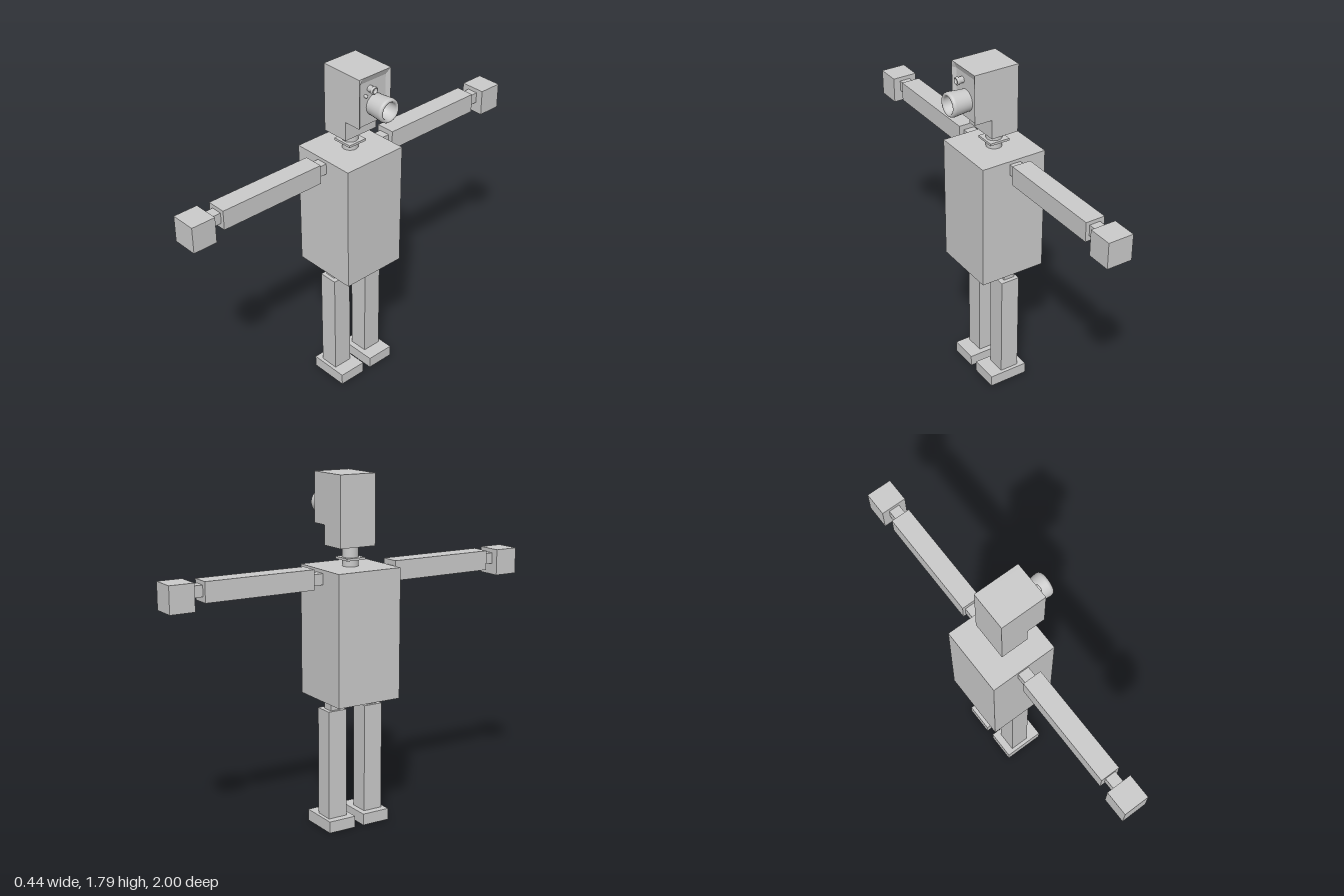
import * as THREE from 'three';

const grey = new THREE.MeshStandardMaterial({ color: 0xcccccc, side: THREE.DoubleSide });

export function createModel() {
  const model = new THREE.Group();

  const add = (name, geometry, x = 0, y = 0, z = 0) => {
    const mesh = new THREE.Mesh(geometry, grey);
    mesh.name = name;
    mesh.position.set(x, y, z);
    model.add(mesh);
    return mesh;
  };
  // Box given by its extents on each axis
  const block = (name, [x0, x1], [y0, y1], [z0, z1]) =>
    add(name, new THREE.BoxGeometry(x1 - x0, y1 - y0, z1 - z0),
      (x0 + x1) / 2, (y0 + y1) / 2, (z0 + z1) / 2);
  // Turned part whose axis points along +x; points are [radius, distance]
  const turned = (name, points, x, y, z) => {
    const profile = points.map(([r, d]) => new THREE.Vector2(r, d));
    const mesh = add(name, new THREE.LatheGeometry(profile, 32), x, y, z);
    mesh.rotation.z = -Math.PI / 2;
  };

  block('torso', [-0.222, 0.133], [0.677, 1.34], [-0.178, 0.178]);

  // Limbs, mirrored across z
  for (const s of [1, -1]) {
    const side = s > 0 ? 'near' : 'far';
    const limb = (name, x, y, [z0, z1]) =>
      block(side + name, x, y, s > 0 ? [z0, z1] : [-z1, -z0]);
    limb('Shoulder', [-0.08, -0.02], [1.267, 1.323], [0.178, 0.236]);
    limb('Arm', [-0.095, 0.006], [1.249, 1.35], [0.236, 0.815]);
    limb('Wrist', [-0.071, -0.014], [1.275, 1.331], [0.815, 0.873]);
    limb('Hand', [-0.109, 0.024], [1.217, 1.352], [0.873, 1]);
    limb('Hip', [-0.08, -0.02], [0.625, 0.677], [0.078, 0.137]);
    limb('Leg', [-0.095, 0.007], [0.06, 0.625], [0.054, 0.158]);
    limb('Foot', [-0.133, 0.08], [0, 0.06], [0.025, 0.177]);
  }

  // Neck with a thin square plate
  add('neck', new THREE.CylinderGeometry(0.04, 0.04, 0.1, 32), -0.045, 1.39, 0);
  block('neckPlate', [-0.099, 0.009], [1.373, 1.385], [-0.053, 0.053]);

  // Head: jaw block below, skull block with a shallow recessed face
  block('jaw', [-0.115, 0.032], [1.44, 1.54], [-0.1, 0.1]);
  const skull = new THREE.BoxGeometry(0.242, 0.255, 0.2, 1, 2, 3);
  const p = skull.attributes.position;
  for (let i = 0; i < p.count; i++) {
    const innerZ = Math.abs(p.getZ(i)) < 0.05;
    const middleY = Math.abs(p.getY(i)) < 0.01;
    if (innerZ) p.setZ(i, Math.sign(p.getZ(i)) * 0.078);
    if (innerZ && p.getX(i) > 0 && p.getY(i) < 0.1) p.setX(i, 0.109);
    if (middleY) p.setY(i, 0.096);
  }
  const flatSkull = skull.toNonIndexed();
  flatSkull.computeVertexNormals();
  add('skull', flatSkull, 0.006, 1.6675, 0);

  // Hollow main eye lens with rounded rim
  turned('eyeLens', [
    [0, 0.03], [0.04, 0.03], [0.043, 0.095], [0.047, 0.102], [0.055, 0.102],
    [0.06, 0.096], [0.062, 0.085], [0.055, 0.012], [0.055, 0],
  ].reverse(), 0.116, 1.632, -0.009);

  // Small upper lens and indicator
  turned('smallLens', [
    [0.016, 0], [0.016, 0.02], [0.02, 0.024], [0.02, 0.034],
    [0.017, 0.037], [0.013, 0.037], [0.012, 0.028], [0, 0.028],
  ], 0.115, 1.724, 0.024);
  turned('indicator', [[0.008, 0], [0.008, 0.012], [0.004, 0.016], [0, 0.017]], 0.115, 1.695, 0.053);

  return model;
}
